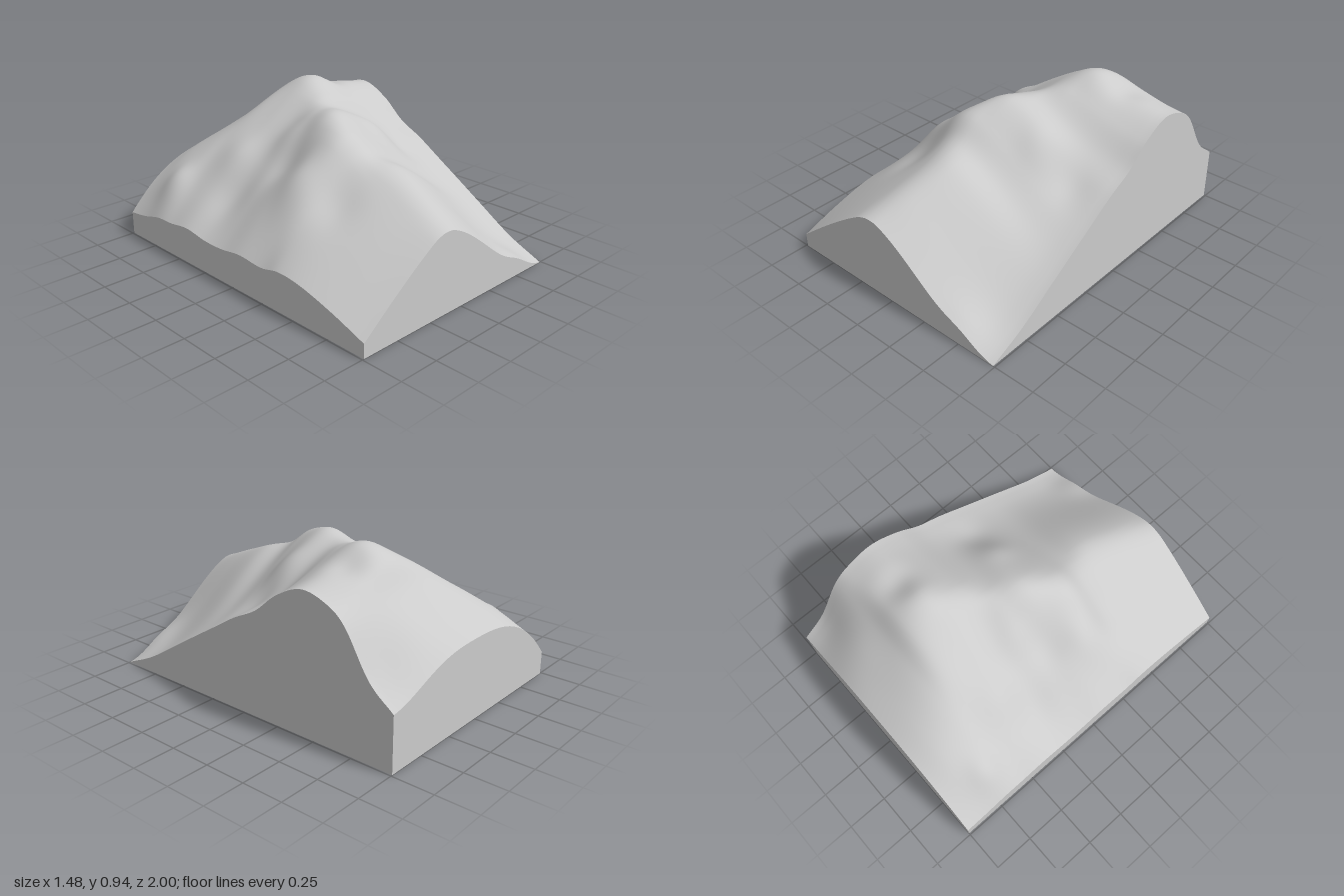
import * as THREE from 'three';

const HALF_WIDTH = 0.74;
const COLS = 60, ROWS = 80;
const { lerp, smoothstep } = THREE.MathUtils;

// Cross-sections from back to front:
// z, height at the -x edge, ridge x, ridge height, height at the +x edge
const SECTIONS = [
  [-1, 0.14, 0.03, 0.48, 0.325],
  [-0.85, 0.16, 0.28, 0.6, 0.45],
  [-0.7, 0.19, 0.3, 0.74, 0.69],
  [-0.58, 0.2, 0.28, 0.89, 0.78],
  [-0.42, 0.22, 0.24, 0.955, 0.815],
  [-0.25, 0.2, 0.14, 0.89, 0.74],
  [-0.1, 0.2, 0.01, 0.86, 0.62],
  [0.06, 0.22, -0.05, 0.88, 0.54],
  [0.24, 0.21, -0.14, 0.82, 0.43],
  [0.38, 0.235, -0.12, 0.72, 0.345],
  [0.55, 0.22, -0.06, 0.67, 0.24],
  [0.78, 0.16, -0.1, 0.58, 0.1],
  [1, 0.085, -0.16, 0.49, 0],
];

// Local humps and hollows: x, z, height, radius
const BUMPS = [
  [-0.6, -0.73, 0.05, 0.1], // spur crest
  [-0.36, -0.42, 0.035, 0.12],
  [-0.18, -0.16, 0.02, 0.1],
  [-0.5, -0.3, -0.03, 0.13], // gully beside the spur
  [-0.3, -0.02, -0.045, 0.12],
  [-0.43, 0.17, 0.035, 0.11], // side shoulder
  [-0.35, 0.42, -0.035, 0.13],
  [0.43, -0.46, -0.045, 0.11], // saddle beyond the peak
  [0.5, 0.1, -0.035, 0.12], // hollow on the long flank
  [0.28, 0.12, 0.025, 0.1],
  [0.52, 1, 0.035, 0.13],
];

// Height of one section: a rising flank up to the ridge, an S-shaped flank down from it
function sectionHeight([z, left, ridgeX, ridgeY, right], x) {
  if (x < ridgeX) {
    // The flank bulges into a rounded spur near the back
    const bulge = 1.15 + 2.2 * Math.exp(-(((z + 0.87) / 0.22) ** 2));
    const t = (x + HALF_WIDTH) / (ridgeX + HALF_WIDTH);
    return lerp(left, ridgeY, 1 - (1 - t) ** bulge);
  }
  const s = (x - ridgeX) / (HALF_WIDTH - ridgeX);
  const delay = 0.9 + 0.6 * smoothstep(-z, 0.6, 1);
  return lerp(ridgeY, right, smoothstep(s ** delay, 0, 1));
}

// Averages neighbouring heights so the ridge is rounded
function roundedHeight(section, x) {
  const d = Math.max(0, Math.min(0.06, HALF_WIDTH - Math.abs(x)));
  return [-d, 0, d].reduce((sum, o) => sum + sectionHeight(section, x + o), 0) / 3;
}

const bumpHeight = (x, z) => BUMPS.reduce((sum, [bx, bz, height, radius]) =>
  sum + height * Math.exp(-((x - bx) ** 2 + (z - bz) ** 2) / radius ** 2), 0);

// Joins the sections along z with smooth curves, giving a grid of points
function hillPoints() {
  const rows = Array.from({ length: ROWS + 1 }, () => []);
  for (let c = 0; c <= COLS; c++) {
    const x = lerp(-HALF_WIDTH, HALF_WIDTH, c / COLS);
    const along = new THREE.CatmullRomCurve3(
      SECTIONS.map((s) => new THREE.Vector3(x, roundedHeight(s, x), s[0])), false, 'catmullrom', 0.5);
    for (let r = 0; r <= ROWS; r++) {
      const p = along.getPoint(r / ROWS);
      p.y = Math.max(0, p.y + bumpHeight(x, p.z));
      rows[r].push(p);
    }
  }
  return rows;
}

// Skins a grid of points given as rows of equal length
function skin(rows) {
  const n = rows[0].length;
  const index = [];
  for (let r = 0; r < rows.length - 1; r++) {
    for (let c = 0; c < n - 1; c++) {
      const a = r * n + c, b = a + n;
      index.push(a, b, a + 1, a + 1, b, b + 1);
    }
  }
  const geometry = new THREE.BufferGeometry().setFromPoints(rows.flat());
  geometry.setIndex(index);
  geometry.computeVertexNormals();
  return geometry;
}

export function createModel() {
  const model = new THREE.Group();
  model.name = 'terrainBlock';
  const material = new THREE.MeshStandardMaterial({ color: 0xcccccc, side: THREE.DoubleSide });
  const add = (name, rows) => {
    const mesh = new THREE.Mesh(skin(rows), material);
    mesh.name = name;
    model.add(mesh);
  };

  // Hill surface, open underneath
  const rows = hillPoints();
  add('hillSurface', rows);

  // Flat cut walls from the edge of the hill down to the ground
  const walls = {
    frontWall: rows[ROWS],
    backWall: [...rows[0]].reverse(),
    leftWall: rows.map((row) => row[COLS]).reverse(),
    rightWall: rows.map((row) => row[0]),
  };
  for (const [name, edge] of Object.entries(walls)) {
    add(name, [edge, edge.map((p) => new THREE.Vector3(p.x, 0, p.z))]);
  }
  return model;
}
